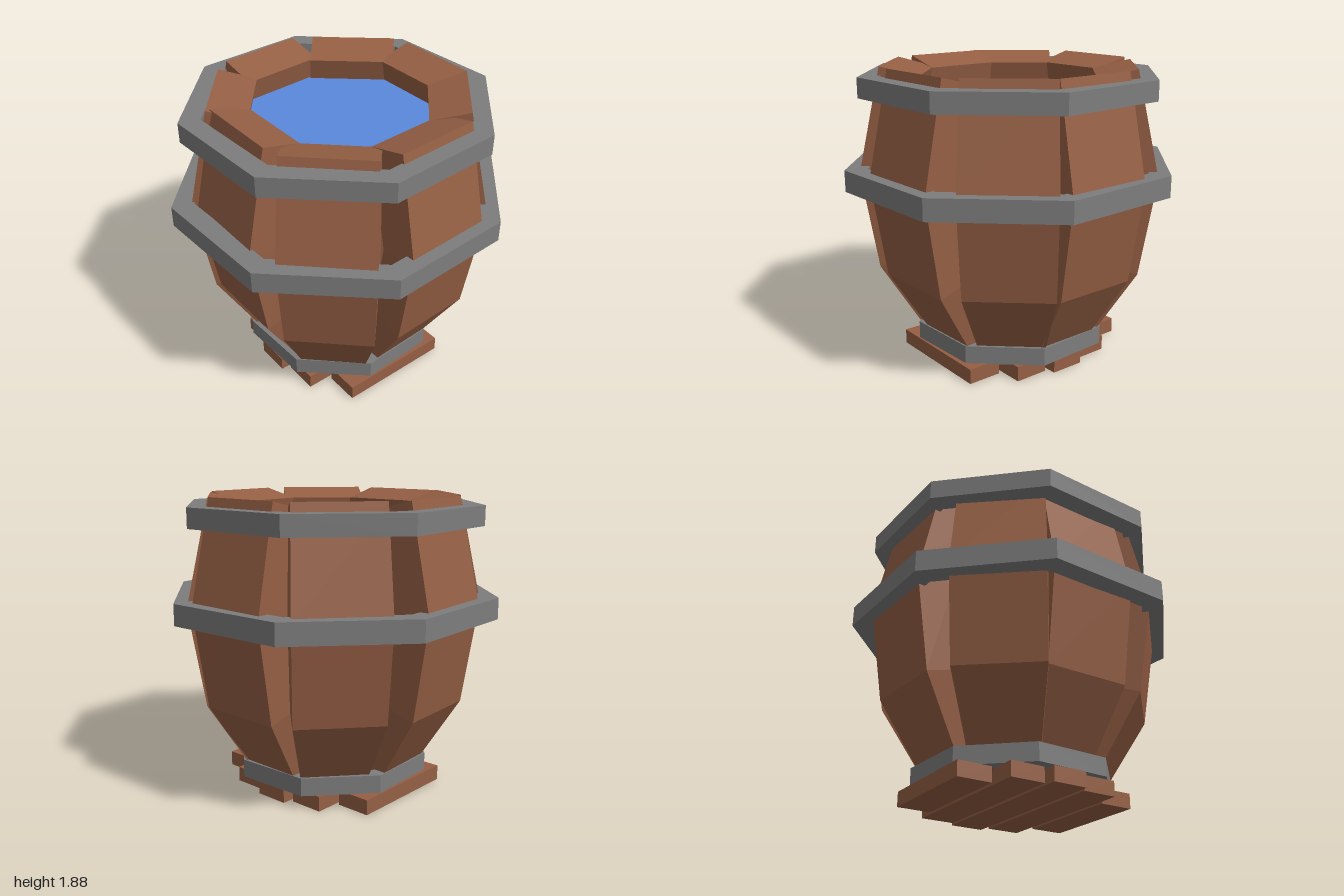
import * as THREE from 'three';

const wood = new THREE.MeshStandardMaterial({ color: 0x955f44 });
wood.name = 'wood brown';
const iron = new THREE.MeshStandardMaterial({ color: 0x7d7d7d });
iron.name = 'iron grey';
const water = new THREE.MeshStandardMaterial({ color: 0x5a89dc, side: THREE.DoubleSide });
water.name = 'water blue';

const rad = THREE.MathUtils.degToRad;

// Octagon outline, turned slightly off square
function octagon(radius, Type = THREE.Shape) {
  const points = [];
  for (let i = 0; i < 8; i++) {
    const a = rad(-20 + i * 45);
    points.push(new THREE.Vector2(radius * Math.cos(a), radius * Math.sin(a)));
  }
  return new Type(points);
}

// Eight-sided iron hoop from y0 to y1
function hoop(name, outer, inner, y0, y1) {
  const shape = octagon(outer);
  shape.holes.push(octagon(inner, THREE.Path));
  const geometry = new THREE.ExtrudeGeometry(shape, { depth: y1 - y0, bevelEnabled: false });
  geometry.rotateX(-Math.PI / 2);
  const mesh = new THREE.Mesh(geometry, iron);
  mesh.name = name;
  mesh.position.y = y0;
  return mesh;
}

// Bent plank: each level is [half width, outer radius, outer y, inner radius, inner y]
const levels = [
  [0.19, 0.495, 0.07, 0.29, 0.19],
  [0.275, 0.815, 0.6, 0.58, 0.67],
  [0.285, 0.915, 1.22, 0.67, 1.2],
  [0.27, 0.77, 1.88, 0.53, 1.82],
];

function staveGeometry() {
  const box = new THREE.BoxGeometry(2, 3, 2, 1, 3, 1);
  const p = box.attributes.position;
  for (let i = 0; i < p.count; i++) {
    const [half, ro, yo, ri, yi] = levels[Math.round(p.getY(i) + 1.5)];
    const outside = p.getZ(i) > 0;
    p.setXYZ(i, p.getX(i) * half, outside ? yo : yi, outside ? ro : ri);
  }
  const flat = box.toNonIndexed();
  flat.computeVertexNormals();
  return flat;
}

// Uneven placing of the staves: [angle in degrees, radial shift, sideways shift]
const placing = [
  [-2.5, 0, -0.046], [43.7, 0, -0.018], [90, -0.045, 0], [129, -0.015, 0],
  [176.4, 0, 0.003], [221, -0.005, 0.057], [270, 0.008, 0.01], [312, 0, -0.04],
];

export function createModel() {
  const model = new THREE.Group();
  model.name = 'waterBarrel';

  // Staves
  const staves = new THREE.Group();
  staves.name = 'staves';
  const geometry = staveGeometry();
  placing.forEach(([degrees, out, side], i) => {
    const a = rad(degrees);
    const stave = new THREE.Mesh(geometry, wood);
    stave.name = `stave${i + 1}`;
    stave.rotation.y = Math.PI / 2 - a;
    stave.position.set(
      out * Math.cos(a) - side * Math.sin(a), 0,
      out * Math.sin(a) + side * Math.cos(a));
    staves.add(stave);
  });
  model.add(staves);

  // Hoops
  model.add(hoop('topHoop', 0.963, 0.83, 1.7, 1.825));
  model.add(hoop('middleHoop', 1.065, 0.925, 1.13, 1.265));
  const bottomHoop = hoop('bottomHoop', 0.638, 0.54, 0.095, 0.21);
  bottomHoop.position.z = -0.01;
  model.add(bottomHoop);

  // Water surface
  const surface = new THREE.Mesh(new THREE.ShapeGeometry(octagon(0.65)), water);
  surface.name = 'waterSurface';
  surface.rotation.x = -Math.PI / 2;
  surface.position.y = 1.68;
  model.add(surface);

  // Base planks, shorter towards the sides
  const base = new THREE.Group();
  base.name = 'base';
  [0.37, 0.525, 0.58, 0.525, 0.37].forEach((half, i) => {
    const plank = new THREE.Mesh(new THREE.BoxGeometry(0.222, 0.096, half * 2), wood);
    plank.name = `basePlank${i + 1}`;
    plank.position.set((i - 2) * 0.249, 0.048, 0);
    base.add(plank);
  });
  model.add(base);

  return model;
}
